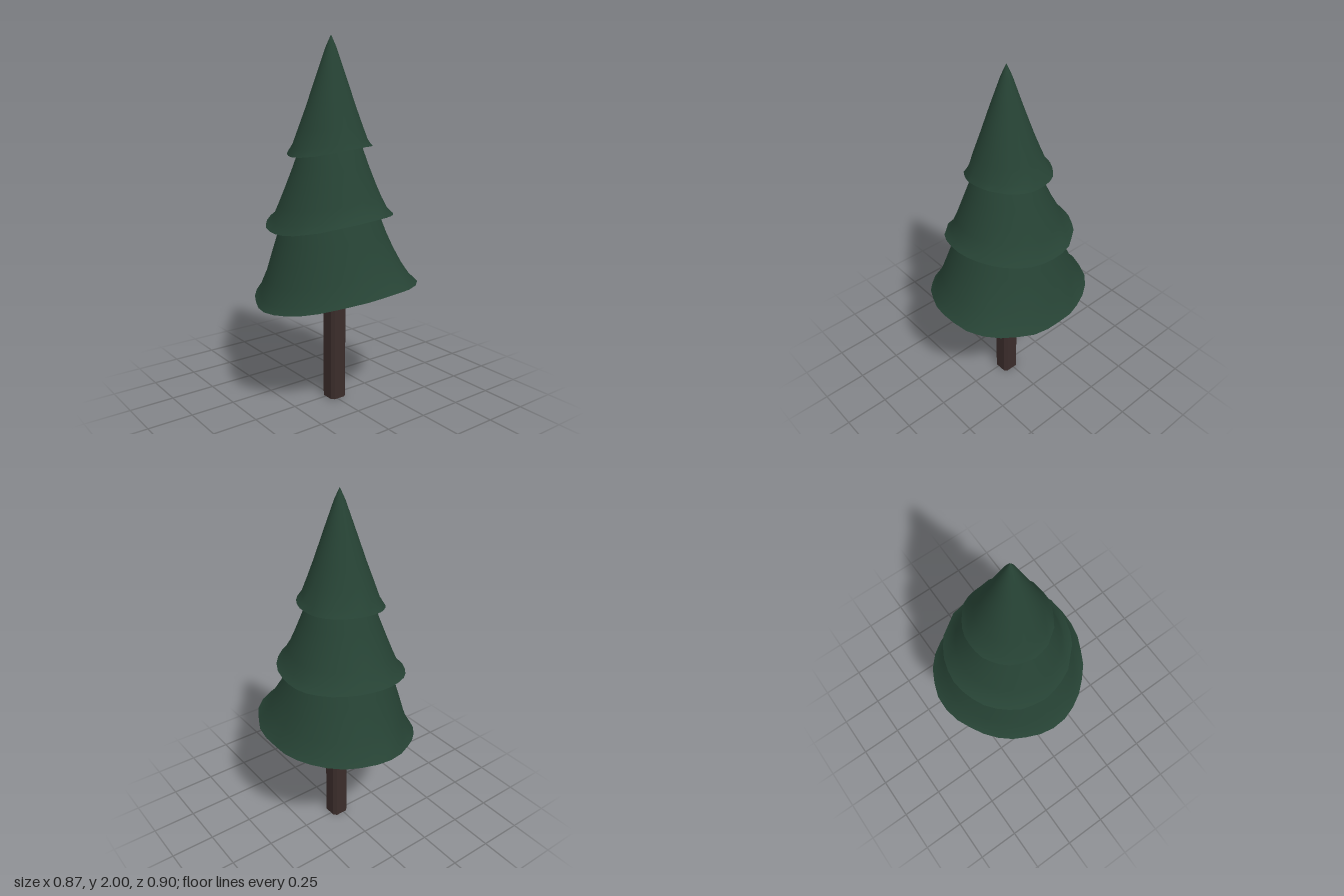
import * as THREE from 'three';

const SEG = 32;
const green = new THREE.MeshStandardMaterial({ color: 0x264234 });
const greenFlat = new THREE.MeshStandardMaterial({ color: 0x264234, flatShading: true });
const brown = new THREE.MeshStandardMaterial({ color: 0x3a2c2a, flatShading: true });

// Rim radius of the widest skirt every 30 degrees, from +x towards +z
const RIM = [0.435, 0.462, 0.48, 0.45, 0.432, 0.436, 0.437, 0.42, 0.425, 0.455, 0.46, 0.44];
const MEAN = 0.445;

// Periodic smooth lookup of the uneven outline
function outline(angle) {
  const s = (angle / (Math.PI * 2)) * 12;
  const i = Math.floor(s), f = s - i;
  const u = f * f * (3 - 2 * f);
  return THREE.MathUtils.lerp(RIM[i % 12], RIM[(i + 1) % 12], u) / MEAN;
}

function seeded(seed) {
  let s = seed;
  return () => (s = (s * 16807) % 2147483647) / 2147483647;
}

// rows: [radius, height, rim influence], listed from rim to top
const TIERS = [
  {
    name: 'lowerBranches', uneven: 1, dz: 0, tilt: [0.043, 0.0175, -0.025], center: 0.695, seed: 11,
    rows: [[0.445, 0.657, 1], [0.415, 0.69, 0.95], [0.375, 0.765, 0.7], [0.335, 0.86, 0.4],
      [0.3, 0.95, 0.2], [0.262, 1.06, 0], [0.2, 1.2, 0]],
  },
  {
    name: 'middleBranches', uneven: 0.2, dz: -0.018, tilt: [0.0275, 0.0075, -0.0225], center: 1.07, seed: 23,
    rows: [[0.348, 1.04, 1], [0.312, 1.075, 0.9], [0.28, 1.14, 0.6], [0.245, 1.22, 0.3],
      [0.205, 1.32, 0.1], [0.165, 1.43, 0], [0.11, 1.55, 0]],
  },
  {
    name: 'upperBranches', uneven: 0, dz: -0.014, tilt: [0.02, 0.005, -0.0125], center: 1.44, seed: 37,
    rows: [[0.228, 1.4125, 1], [0.203, 1.45, 0.8], [0.172, 1.53, 0.4], [0.135, 1.63, 0.2],
      [0.08, 1.79, 0], [0.028, 1.94, 0], [0.001, 2, 0]],
  },
];

// Skirt surface: a revolved profile whose rim is tilted, uneven and slightly ragged
function skirtGeometry(tier) {
  const rand = seeded(tier.seed);
  const rag = Array.from({ length: SEG }, () => rand() - 0.5);
  const pos = [], index = [];
  tier.rows.forEach(([r, y, w], row) => {
    for (let i = 0; i < SEG; i++) {
      const a = (i / SEG) * Math.PI * 2;
      const k = 1 + (outline(a) - 1) * tier.uneven * w;
      const jitter = row < 2 ? rag[(i + row * 5) % SEG] * 0.009 : 0;
      const [tx, tz, t2] = tier.tilt;
      const lift = tx * Math.cos(a) + tz * Math.sin(a) + t2 * Math.cos(2 * a);
      pos.push(Math.cos(a) * (r * k + jitter), y + lift * w + jitter * 0.5,
        Math.sin(a) * (r * k + jitter) + tier.dz * w);
      if (row > 0) {
        const j = (i + 1) % SEG, lo = (row - 1) * SEG, hi = row * SEG;
        index.push(lo + i, hi + i, lo + j, lo + j, hi + i, hi + j);
      }
    }
  });
  const g = new THREE.BufferGeometry();
  g.setAttribute('position', new THREE.Float32BufferAttribute(pos, 3));
  g.setIndex(index);
  g.computeVertexNormals();
  return g;
}

// Faceted underside, a fan from the rim up to the trunk
function undersideGeometry(skirt, center) {
  const pos = Array.from(skirt.attributes.position.array.slice(0, SEG * 3));
  pos.push(0.01, center, 0);
  const index = [];
  for (let i = 0; i < SEG; i++) index.push(i, (i + 1) % SEG, SEG);
  const g = new THREE.BufferGeometry();
  g.setAttribute('position', new THREE.Float32BufferAttribute(pos, 3));
  g.setIndex(index);
  g.computeVertexNormals();
  return g;
}

// Square post with chamfered corners
function trunkGeometry(half, chamfer, height) {
  const h = half, c = half - chamfer;
  const shape = new THREE.Shape([[h, -c], [h, c], [c, h], [-c, h], [-h, c], [-h, -c], [-c, -h], [c, -h]]
    .map(([x, y]) => new THREE.Vector2(x, y)));
  return new THREE.ExtrudeGeometry(shape, { depth: height, bevelEnabled: false }).rotateX(-Math.PI / 2);
}

export function createModel() {
  const tree = new THREE.Group();
  tree.name = 'firTree';

  const trunk = new THREE.Mesh(trunkGeometry(0.051, 0.017, 0.76), brown);
  trunk.name = 'trunk';
  trunk.position.set(0.015, 0, 0.013);
  tree.add(trunk);

  for (const tier of TIERS) {
    const group = new THREE.Group();
    group.name = tier.name;
    const skirt = new THREE.Mesh(skirtGeometry(tier), green);
    skirt.name = 'skirt';
    const underside = new THREE.Mesh(undersideGeometry(skirt.geometry, tier.center), greenFlat);
    underside.name = 'underside';
    group.add(skirt, underside);
    tree.add(group);
  }
  return tree;
}
